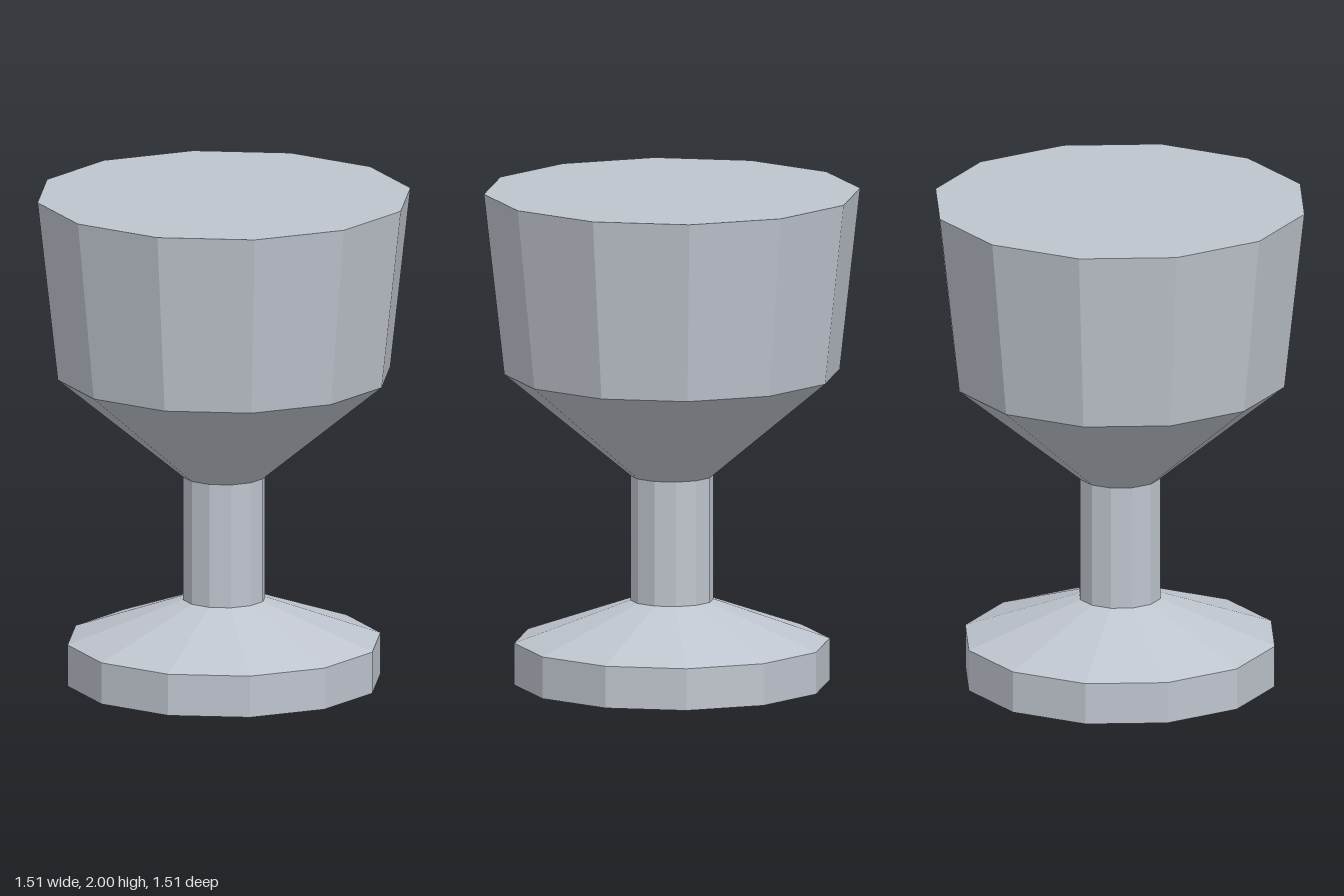
import * as THREE from 'three';

const SIDES = 12;

export function createModel() {
  const group = new THREE.Group();
  group.name = 'goblet';

  const silver = new THREE.MeshStandardMaterial({ color: 0xbfc5ce, flatShading: true });
  silver.name = 'silver grey';

  // Each part is a ring of flat facets turned from [radius, height] points
  const addPart = (name, points) => {
    const profile = points.map(([r, y]) => new THREE.Vector2(r, y));
    const mesh = new THREE.Mesh(new THREE.LatheGeometry(profile, SIDES), silver);
    mesh.name = name;
    group.add(mesh);
  };

  // Foot: closed disc, straight rim and sloping top
  addPart('foot', [[0, 0], [0.635, 0], [0.635, 0.17], [0.167, 0.338]]);

  // Stem: slim straight column
  addPart('stem', [[0.167, 0.338], [0.167, 0.845]]);

  // Bowl: flared underside, slightly tapered wall and flat closed top
  addPart('bowl', [[0.167, 0.845], [0.675, 1.265], [0.757, 2], [0, 2]]);

  return group;
}
